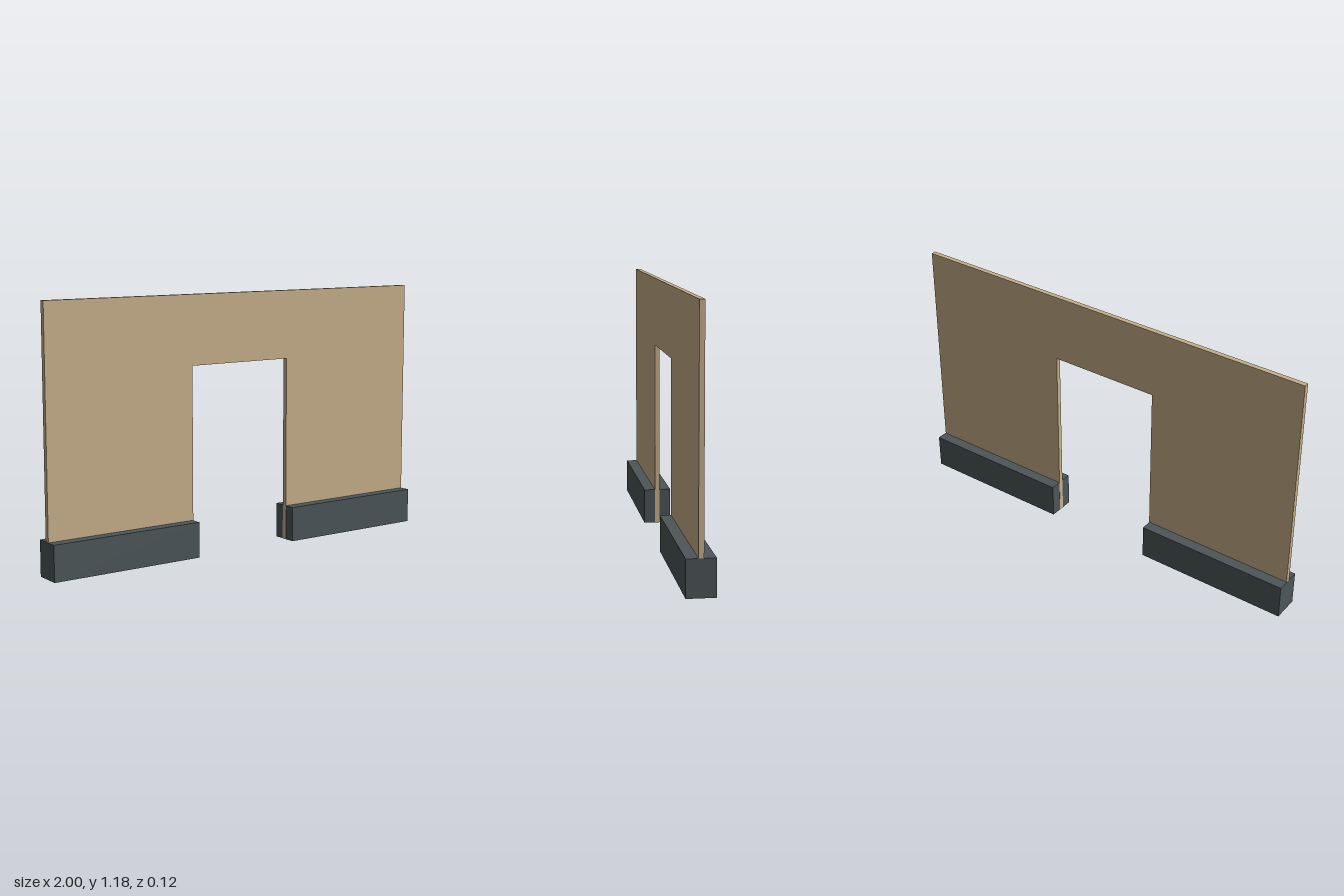
import * as THREE from 'three';

export function createModel() {
  const model = new THREE.Group();
  model.name = 'doorwayWall';

  const tan = new THREE.MeshStandardMaterial({ color: 0xc8b18b });
  tan.name = 'tan panel';
  const slate = new THREE.MeshStandardMaterial({ color: 0x4d5659 });
  slate.name = 'slate base';

  const height = 1.184, doorHeight = 0.866, doorHalf = 0.264;
  const panelDepth = 0.023, baseHeight = 0.163, baseDepth = 0.125;
  const outer = 0.999; // panel ends sit just inside the base ends
  const bottom = 0.001;

  // Thin wall panel with a doorway notch
  const outline = new THREE.Shape([
    [-outer, bottom], [-doorHalf, bottom], [-doorHalf, doorHeight], [doorHalf, doorHeight],
    [doorHalf, bottom], [outer, bottom], [outer, height], [-outer, height],
  ].map(([x, y]) => new THREE.Vector2(x, y)));
  const panelGeometry = new THREE.ExtrudeGeometry(outline, { depth: panelDepth, bevelEnabled: false });
  panelGeometry.translate(0, 0, -panelDepth / 2);
  const panel = new THREE.Mesh(panelGeometry, tan);
  panel.name = 'wallPanel';
  model.add(panel);

  // Heavy base on each side of the doorway, its inner end just behind the panel edge
  const inner = doorHalf + 0.001;
  for (const side of [-1, 1]) {
    const base = new THREE.Mesh(new THREE.BoxGeometry(1 - inner, baseHeight, baseDepth), slate);
    base.name = side > 0 ? 'leftBase' : 'rightBase';
    base.position.set(side * (1 + inner) / 2, baseHeight / 2, 0);
    model.add(base);
  }

  return model;
}
